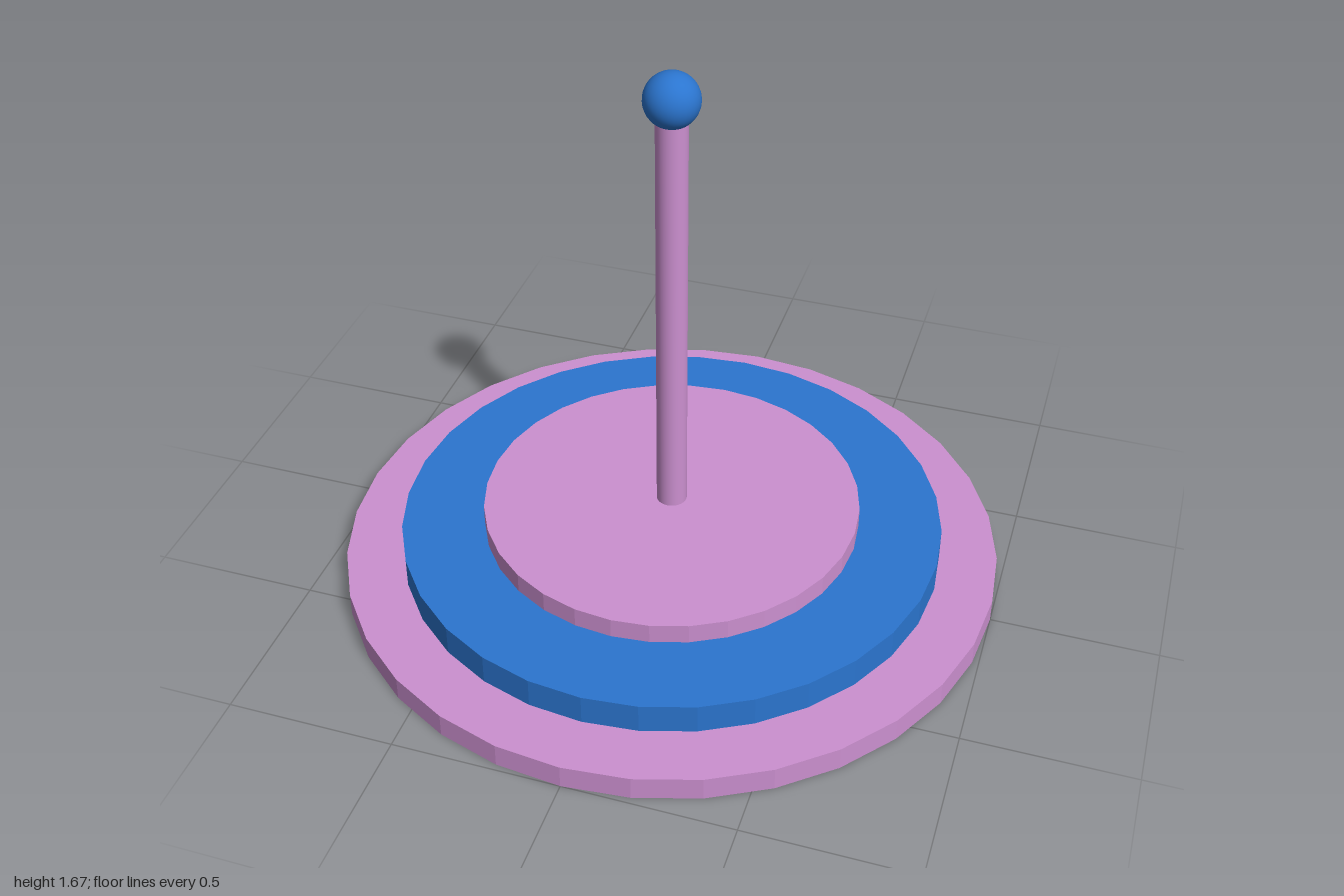
import * as THREE from 'three';

export function createModel() {
  const model = new THREE.Group();
  model.name = 'tieredStand';

  const pink = new THREE.MeshStandardMaterial({ color: 0xcc90d0 });
  pink.name = 'orchid pink';
  const blue = new THREE.MeshStandardMaterial({ color: 0x2b75cf });
  blue.name = 'blue';

  const add = (name, geometry, material, y) => {
    const mesh = new THREE.Mesh(geometry, material);
    mesh.name = name;
    mesh.position.y = y;
    model.add(mesh);
  };

  // Faceted discs stacked from the ground: name, radius, bottom, top, material
  const tiers = [
    ['baseDisc', 1, 0, 0.073, pink],
    ['middleDisc', 0.825, 0.073, 0.166, blue],
    ['topDisc', 0.573, 0.166, 0.228, pink],
  ];
  for (const [name, radius, bottom, top, material] of tiers) {
    const faceted = new THREE.CylinderGeometry(radius, radius, top - bottom, 32).toNonIndexed();
    faceted.computeVertexNormals();
    add(name, faceted, material, (bottom + top) / 2);
  }

  // Upright pole, running into the ball
  const poleBottom = 0.228, poleTop = 1.56;
  add('pole', new THREE.CylinderGeometry(0.046, 0.046, poleTop - poleBottom, 32), pink, (poleBottom + poleTop) / 2);

  // Ball finial
  add('ball', new THREE.SphereGeometry(0.08, 32, 24), blue, 1.586);

  return model;
}
